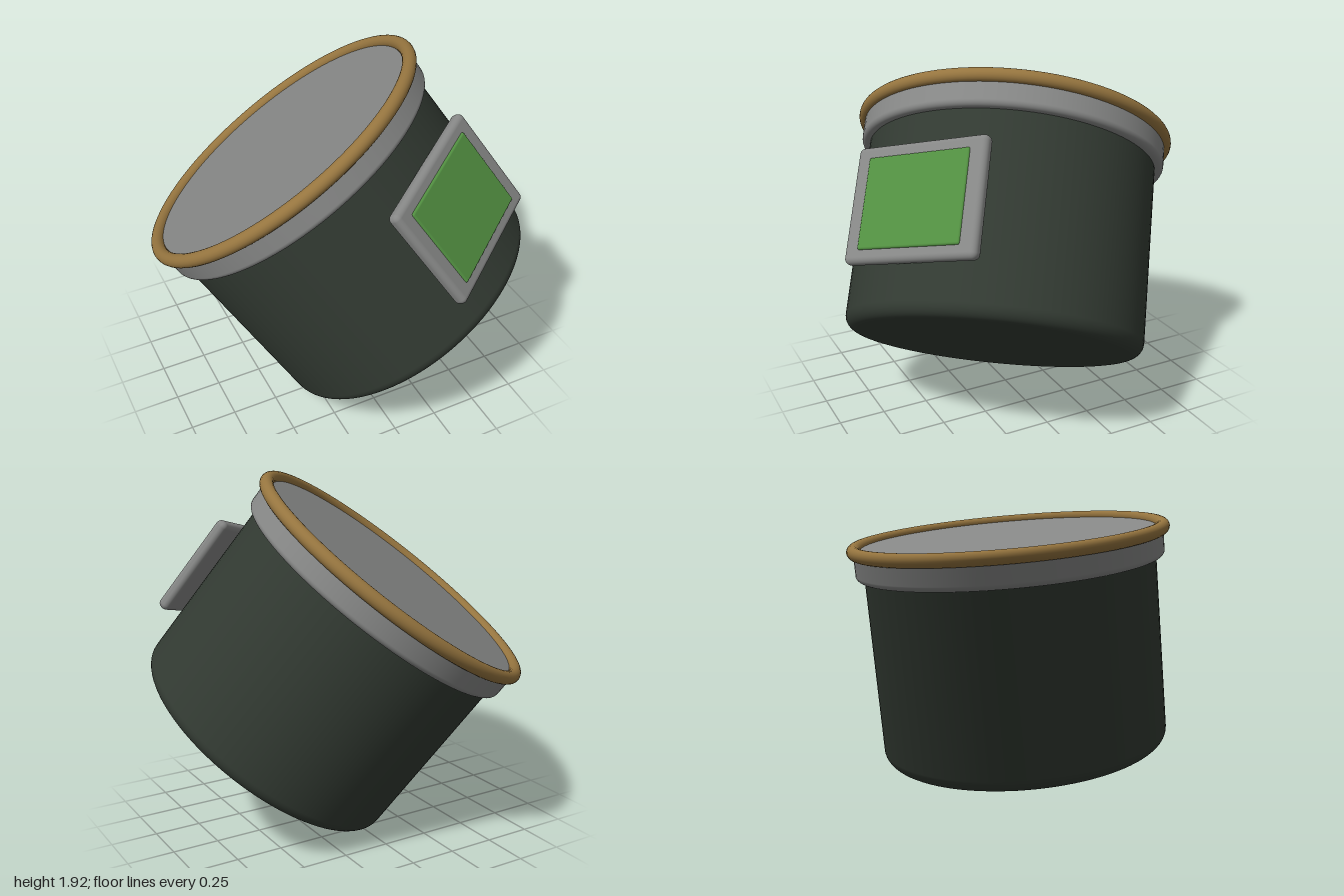
import * as THREE from 'three';
import { RoundedBoxGeometry } from 'three/addons/geometries/RoundedBoxGeometry.js';

const material = (name, color) => {
  const m = new THREE.MeshStandardMaterial({ color });
  m.name = name;
  return m;
};

// Lathe profile of a cylinder whose lower edge is rounded, open at the top
function roundedDrum(radius, bottom, top, fillet, innerRadius) {
  const points = [new THREE.Vector2(innerRadius, bottom)];
  for (let i = 0; i <= 10; i++) {
    const t = (i / 10) * Math.PI / 2;
    points.push(new THREE.Vector2(
      radius - fillet + fillet * Math.sin(t),
      bottom + fillet - fillet * Math.cos(t)
    ));
  }
  points.push(new THREE.Vector2(radius, top));
  return new THREE.LatheGeometry(points, 96);
}

export function createModel() {
  const darkGreen = material('dark green shell', 0x323a32);
  const grey = material('grey metal', 0x868786);
  const brass = material('brass', 0x96753f);
  const green = material('green screen', 0x529041);

  const model = new THREE.Group();
  model.name = 'tiltedCanister';
  const canister = new THREE.Group();
  canister.name = 'canister';
  model.add(canister);

  const add = (name, geometry, mat, x = 0, y = 0, z = 0) => {
    const mesh = new THREE.Mesh(geometry, mat);
    mesh.name = name;
    mesh.position.set(x, y, z);
    canister.add(mesh);
    return mesh;
  };

  // Body, collar, lid and rim share the local y axis; the rim plane is y = 0
  add('body', roundedDrum(0.787, -1.172, -0.05, 0.07, 0), darkGreen);
  add('collar', roundedDrum(0.832, -0.155, 0, 0.03, 0.77), grey);
  add('lid', new THREE.CircleGeometry(0.83, 96).rotateX(-Math.PI / 2), grey, 0, 0.002, 0);
  add('rim', new THREE.TorusGeometry(0.83, 0.036, 20, 96).rotateX(Math.PI / 2), brass);

  // Display panel on the side
  add('panelFrame', new RoundedBoxGeometry(0.76, 0.6, 0.07, 5, 0.03), grey, 0, -0.629, 0.808);
  add('panelScreen', new RoundedBoxGeometry(0.59, 0.47, 0.04, 4, 0.012), green, 0, -0.629, 0.833);

  // Tilt the canister: local y is its axis, local z is where the panel faces
  const up = new THREE.Vector3(-0.488, 0.796, -0.358).normalize();
  const out = new THREE.Vector3(0.356, 0.554, 0.746);
  const side = new THREE.Vector3().crossVectors(up, out).normalize();
  out.crossVectors(side, up);
  canister.quaternion.setFromRotationMatrix(new THREE.Matrix4().makeBasis(side, up, out));
  canister.position.set(-0.24, 1.381, -0.18);
  return model;
}
